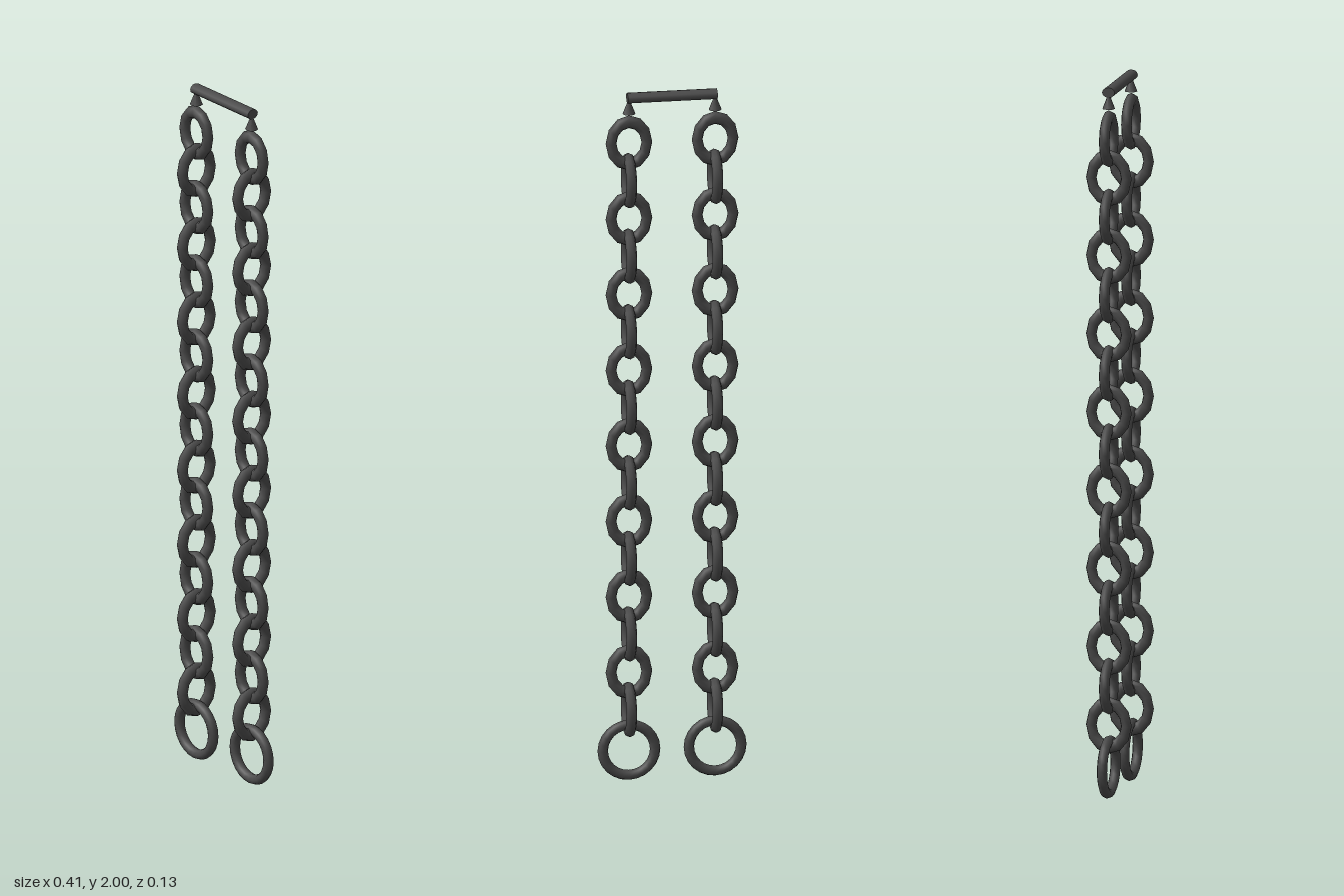
import * as THREE from 'three';

export function createModel() {
  const group = new THREE.Group();
  const iron = new THREE.MeshStandardMaterial({ color: 0x4a4a4a });
  iron.name = 'dark iron';

  const add = (parent, name, geometry, x, y) => {
    const mesh = new THREE.Mesh(geometry, iron);
    mesh.name = name;
    mesh.position.set(x, y, 0);
    parent.add(mesh);
    return mesh;
  };

  // Oval links alternate between facing the front and the side
  const linkCount = 16, pitch = 0.11, topLinkY = 1.855;
  const linkGeometry = new THREE.TorusGeometry(0.05, 0.015, 8, 12);
  linkGeometry.scale(1, 1.23, 1);
  const endRingGeometry = new THREE.TorusGeometry(0.073, 0.0145, 8, 24);
  const hookGeometry = new THREE.ConeGeometry(0.018, 0.045, 8);

  for (const [side, x] of [['left', 0.12], ['right', -0.12]]) {
    const chain = new THREE.Group();
    chain.name = `${side}Chain`;
    group.add(chain);

    add(chain, 'hangerCone', hookGeometry, x, 1.9625);
    for (let i = 0; i < linkCount; i++) {
      const link = add(chain, 'chainLink', linkGeometry, x, topLinkY - i * pitch);
      if (i % 2) link.rotation.y = Math.PI / 2;
    }
    add(chain, 'endRing', endRingGeometry, x, 0.0875);
  }

  // Crossbar joining both chains
  const barGeometry = new THREE.CylinderGeometry(0.018, 0.018, 0.25, 12);
  barGeometry.rotateZ(Math.PI / 2);
  barGeometry.scale(1, 0.8, 1);
  add(group, 'crossbar', barGeometry, 0, 1.9856);

  return group;
}
